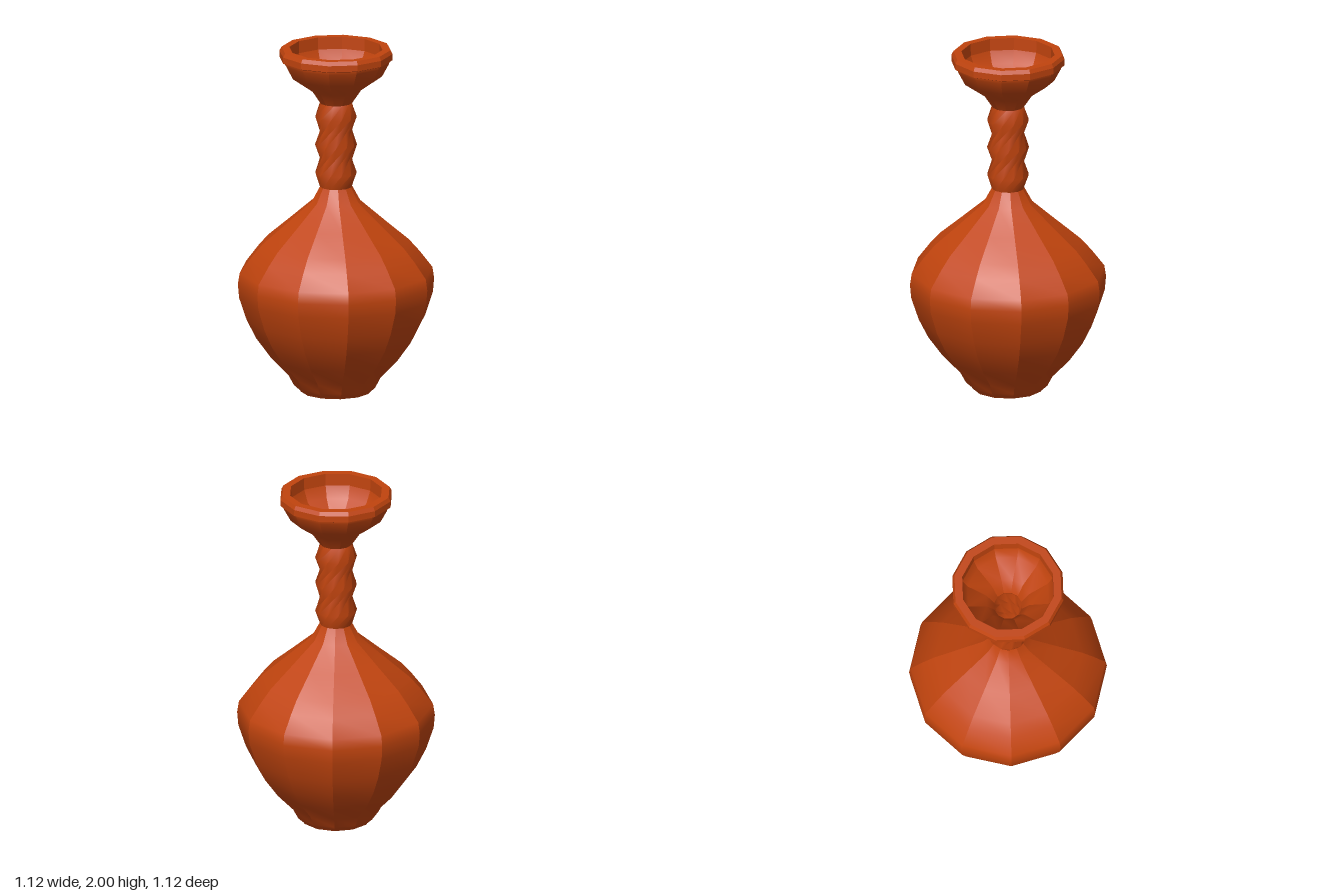
import * as THREE from 'three';

const SIDES = 12;
const STEP = (Math.PI * 2) / SIDES;
const rad = THREE.MathUtils.degToRad;

// Faceted wall through rings [y, radius, twist in degrees]:
// each column is smooth along its height and creased against its neighbours.
function facetedWall(name, rings, material) {
  const pos = [], index = [];
  for (let i = 0; i < SIDES; i++) {
    const base = pos.length / 3;
    for (const [y, r, twist] of rings) {
      for (const k of [i, i + 1]) {
        const a = k * STEP + rad(twist);
        pos.push(r * Math.sin(a), y, r * Math.cos(a));
      }
    }
    for (let j = 0; j < rings.length - 1; j++) {
      const a = base + j * 2, b = a + 1, c = a + 2, d = a + 3;
      // split along the shorter diagonal of twisted quads
      if (rings[j + 1][2] >= rings[j][2]) index.push(a, b, c, b, d, c);
      else index.push(a, b, d, a, d, c);
    }
  }
  const geo = new THREE.BufferGeometry();
  geo.setAttribute('position', new THREE.Float32BufferAttribute(pos, 3));
  geo.setIndex(index);
  geo.computeVertexNormals();
  const mesh = new THREE.Mesh(geo, material);
  mesh.name = name;
  return mesh;
}

export function createModel() {
  const vase = new THREE.Group();
  vase.name = 'vase';
  const clay = new THREE.MeshStandardMaterial({ color: 0xc1440e });
  const add = (name, rings) => vase.add(facetedWall(name, rings, clay));

  // Twisted neck: alternating narrow and wide rings, each turned further
  const TURN = 37.5, END = TURN * 6;
  const neck = [];
  for (let i = 0; i <= 6; i++) neck.push([1.195 + i * 0.0815, i % 2 ? 0.119 : 0.092, i * TURN]);

  // Outside
  const belly = [
    [0, 0.2], [0.01, 0.207], [0.04, 0.24], [0.1, 0.272], [0.205, 0.372], [0.32, 0.455],
    [0.43, 0.51], [0.56, 0.553], [0.64, 0.56], [0.705, 0.55], [0.8, 0.478],
    [0.87, 0.417], [0.985, 0.282], [1.11, 0.138], [1.195, 0.092],
  ].map(([y, r]) => [y, r, 0]);
  const cup = [[1.684, 0.092], [1.76, 0.143], [1.845, 0.263], [1.92, 0.303], [1.935, 0.306]]
    .map(([y, r]) => [y, r, END]);
  add('base', [[0, 0, 0], [0, 0.2, 0]]);
  add('belly', belly);
  add('neck', neck);
  add('cup', cup);

  // Lip, each band with sharp edges
  const lip = [[1.935, 0.306], [1.942, 0.323], [1.978, 0.323], [2, 0.311], [2, 0.266], [1.93, 0.264]]
    .map(([y, r]) => [y, r, END]);
  ['lipUnderside', 'lipSide', 'lipBevel', 'lipTop', 'lipInnerWall']
    .forEach((name, i) => add(name, [lip[i], lip[i + 1]]));

  // Inside, running from the lip down to the floor
  const WALL = 0.012;
  add('cupInside', [[1.93, 0.264, END], [1.86, 0.235, END], [1.775, 0.125, END], [1.684, 0.08, END]]);
  add('neckInside', neck.map(([y, r, t]) => [y, r - WALL, t]).reverse());
  const inner = belly.slice(2).map(([y, r, t]) => [y, r - (y > 1.15 ? WALL : 0.02), t]).reverse();
  add('bellyInside', inner);
  add('floor', [inner[inner.length - 1], [0.04, 0, 0]]);

  return vase;
}
